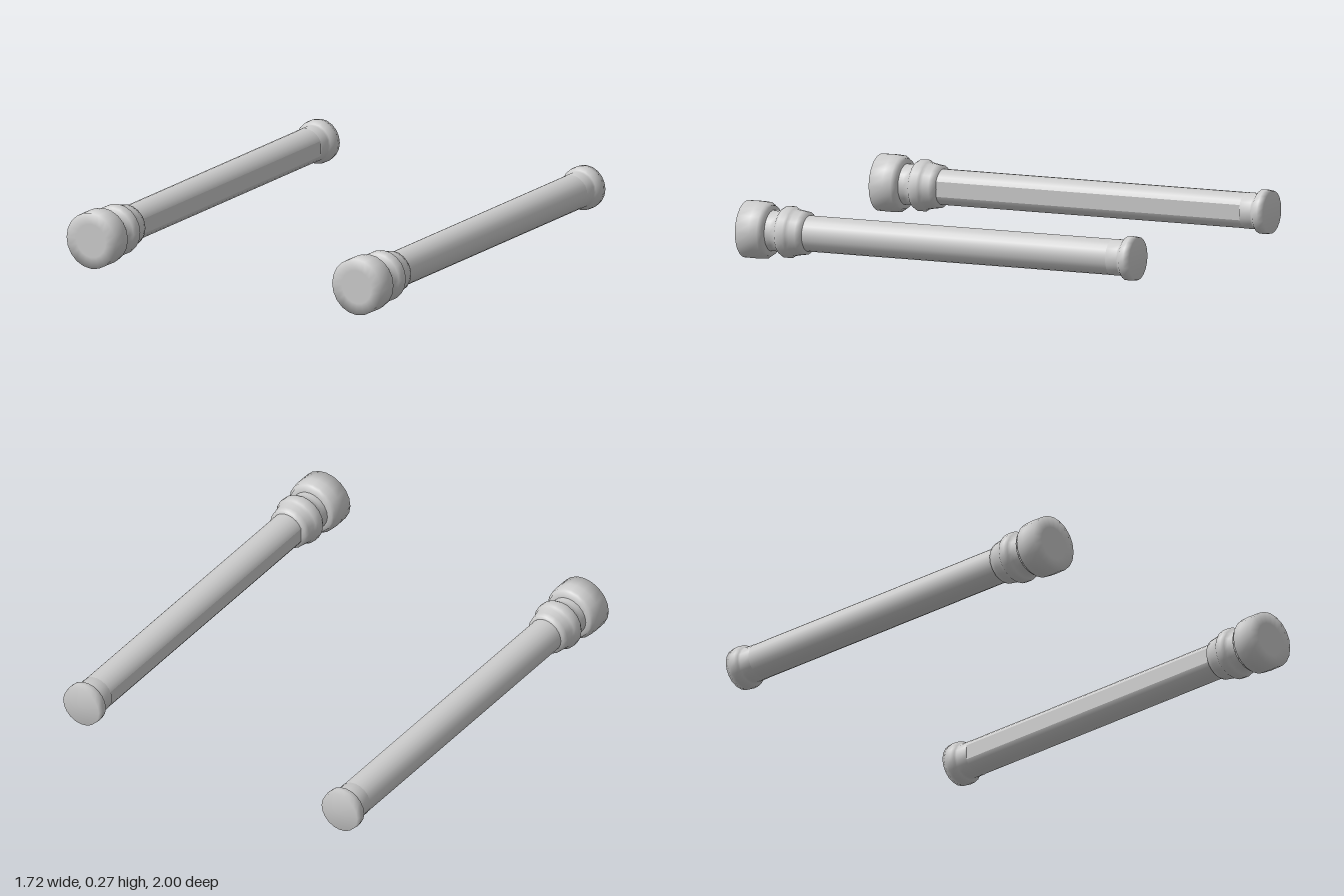
import * as THREE from 'three';

const SIDES = 20;
const material = new THREE.MeshStandardMaterial({ color: 0xcccccc, side: THREE.DoubleSide });

// Turned part along z from [radius, z] pairs, ordered back to front
function turned(name, profile) {
  const points = profile.map(([r, z]) => new THREE.Vector2(r, z));
  const geometry = new THREE.LatheGeometry(points, SIDES).rotateX(Math.PI / 2);
  const mesh = new THREE.Mesh(geometry, material);
  mesh.name = name;
  return mesh;
}

// One baluster lying along z, with the shaft's flat strip facing +x
function createColumn() {
  const column = new THREE.Group();
  const radius = 0.084, flat = 0.076, back = -0.87, front = 0.69;
  const length = front - back, middle = (front + back) / 2;
  const phi = Math.acos(flat / radius);

  const shaft = new THREE.Mesh(
    new THREE.CylinderGeometry(radius, radius, length, SIDES, 1, true,
      Math.PI / 2 + phi, 2 * Math.PI - 2 * phi).rotateX(Math.PI / 2),
    material);
  shaft.name = 'shaft';
  shaft.position.z = middle;

  // Flat strip along the inner side of the shaft
  const strip = new THREE.Mesh(
    new THREE.PlaneGeometry(length, 2 * radius * Math.sin(phi)).rotateY(Math.PI / 2),
    material);
  strip.name = 'flatStrip';
  strip.position.set(flat, 0, middle);

  column.add(
    shaft,
    strip,
    turned('backCollar', [
      [0, -1], [0.1, -1], [0.104, -0.97], [0.102, -0.945], [0.09, -0.935],
      [0.085, -0.925], [0.085, -0.87], [0.07, -0.87],
    ]),
    turned('frontMoulding', [
      [0.07, 0.68], [0.099, 0.685], [0.103, 0.71], [0.108, 0.74], [0.113, 0.755],
      [0.121, 0.765], [0.121, 0.795], [0.112, 0.81], [0.098, 0.82], [0.094, 0.845],
      [0.096, 0.87],
    ]),
    turned('frontCap', [
      [0.09, 0.868], [0.118, 0.87], [0.121, 0.885], [0.132, 0.89], [0.135, 0.93],
      [0.134, 1], [0.08, 1], [0, 1],
    ]));
  return column;
}

export function createModel() {
  const model = new THREE.Group();
  model.name = 'columnPair';
  // The flat strips of the pair face each other
  for (const side of [-1, 1]) {
    const column = createColumn();
    column.name = side < 0 ? 'rightColumn' : 'leftColumn';
    column.position.set(side * 0.726, 0.135, 0);
    if (side > 0) column.rotation.z = Math.PI;
    model.add(column);
  }
  return model;
}
